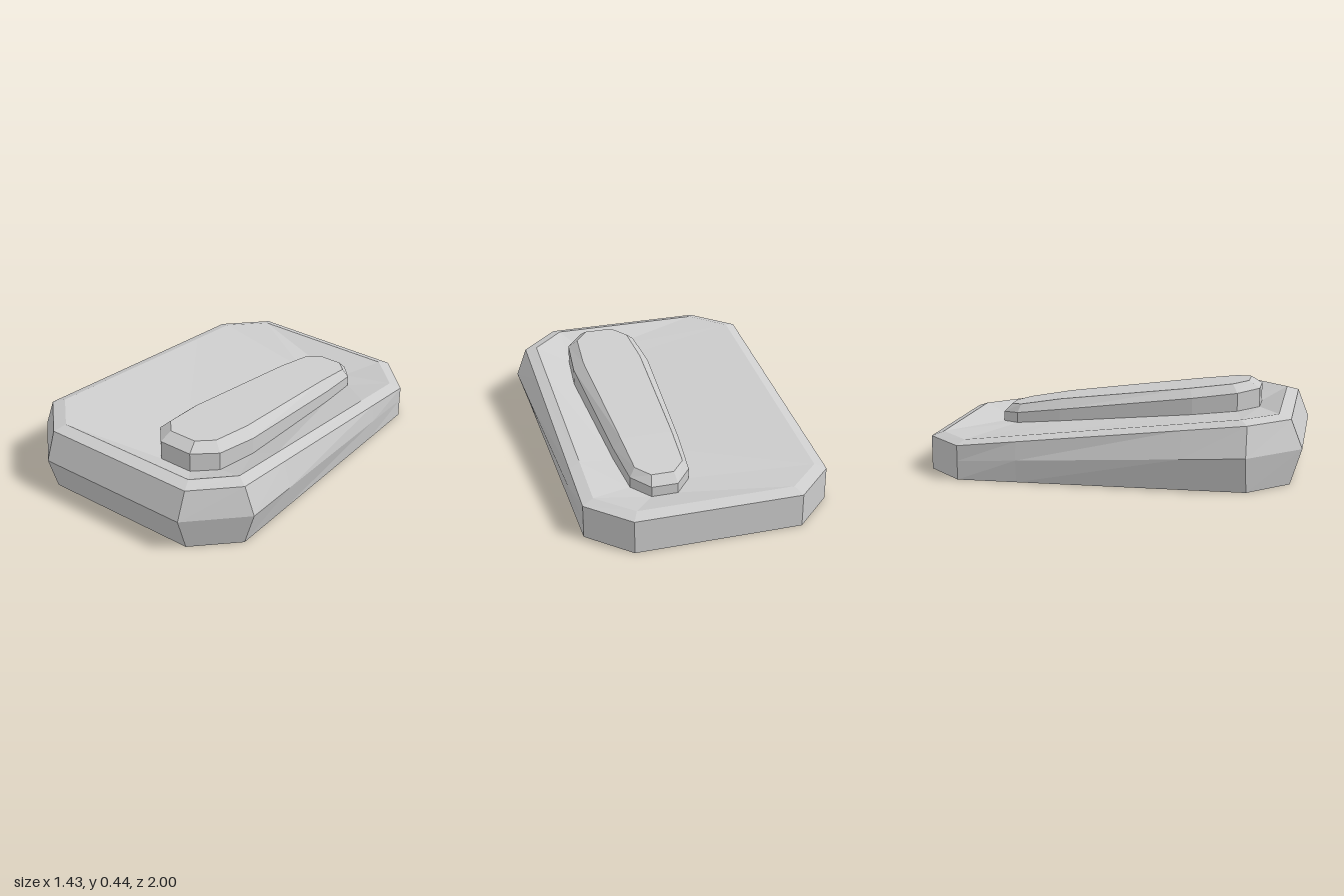
import * as THREE from 'three';

const material = new THREE.MeshStandardMaterial({ color: 0xcccccc, flatShading: true });

// Mirrors a half outline of [halfWidth, y, z] (front to back) into a closed ring
function ring(half, cx = 0) {
  const right = half.map(([x, y, z]) => [cx + x, y, z]);
  const left = half.map(([x, y, z]) => [cx - x, y, z]).reverse();
  return [...right, ...left];
}

// Base ring: four corners per half, with two extra stations along the straight side
function baseRing(front, sideFront, sideBack, back) {
  const station = (t) => sideFront.map((v, i) => v + (sideBack[i] - v) * t);
  return ring([front, sideFront, station(0.22), station(0.79), sideBack, back]);
}

// Skins a stack of rings, bottom to top, and caps both ends with cross strips
function loft(name, rings) {
  const n = rings[0].length;
  const pos = [];
  const quad = (a, b, c, d) => pos.push(...a, ...b, ...c, ...a, ...c, ...d);
  for (let r = 0; r < rings.length - 1; r++) {
    const lo = rings[r], hi = rings[r + 1];
    for (let i = 0; i < n; i++) {
      const j = (i + 1) % n;
      quad(lo[i], lo[j], hi[j], hi[i]);
    }
  }
  const bottom = rings[0], top = rings[rings.length - 1];
  for (let i = 0; i < n / 2 - 1; i++) {
    const k = n - 1 - i;
    quad(top[i], top[i + 1], top[k - 1], top[k]);
    quad(bottom[k], bottom[k - 1], bottom[i + 1], bottom[i]);
  }
  const geometry = new THREE.BufferGeometry();
  geometry.setAttribute('position', new THREE.Float32BufferAttribute(pos, 3));
  geometry.computeVertexNormals();
  const mesh = new THREE.Mesh(geometry, material);
  mesh.name = name;
  return mesh;
}

export function createModel() {
  const group = new THREE.Group();
  group.name = 'wedgePedal';

  // Pad outlines as [halfWidth, z], and the heights of deck, pad side and pad top
  const padX = 0.218;
  const outer = [[0.095, 0.737], [0.198, 0.62], [0.222, 0.37], [0.182, -0.4], [0.158, -0.655], [0.07, -0.758]];
  const inner = [[0.078, 0.675], [0.15, 0.59], [0.168, 0.35], [0.14, -0.4], [0.128, -0.64], [0.06, -0.713]];
  const deckY = (z) => 0.295 - (0.735 - z) * 0.0936;
  const sideY = (z) => 0.4 - (0.735 - z) * 0.127;
  const topY = (z) => (z > -0.4 ? 0.44 - (0.675 - z) * 0.121 : 0.31 + (z + 0.4) * 0.17);
  const padRing = (outline, height) => ring(outline.map(([x, z]) => [x, height(z), z]), padX);

  // Wedge base: chamfered corners, bulging waist, bevelled rim, deck dished down to the pad
  group.add(loft('wedgeBase', [
    baseRing([0.443, 0, 0.94], [0.655, 0, 0.73], [0.655, 0, -0.79], [0.443, 0, -1]),
    baseRing([0.443, 0.19, 1], [0.713, 0.19, 0.73], [0.655, 0.1, -0.79], [0.443, 0.1, -1]),
    baseRing([0.443, 0.345, 0.94], [0.655, 0.345, 0.73], [0.655, 0.183, -0.79], [0.443, 0.183, -1]),
    baseRing([0.415, 0.365, 0.875], [0.595, 0.365, 0.695], [0.595, 0.205, -0.765], [0.415, 0.205, -0.94]),
    padRing(outer, deckY),
  ]));

  // Raised pad: long tapered block with a bevelled top, standing in the dished deck
  group.add(loft('raisedPad', [
    padRing(outer, (z) => deckY(z) - 0.02),
    padRing(outer, sideY),
    padRing(inner, topY),
  ]));

  return group;
}
